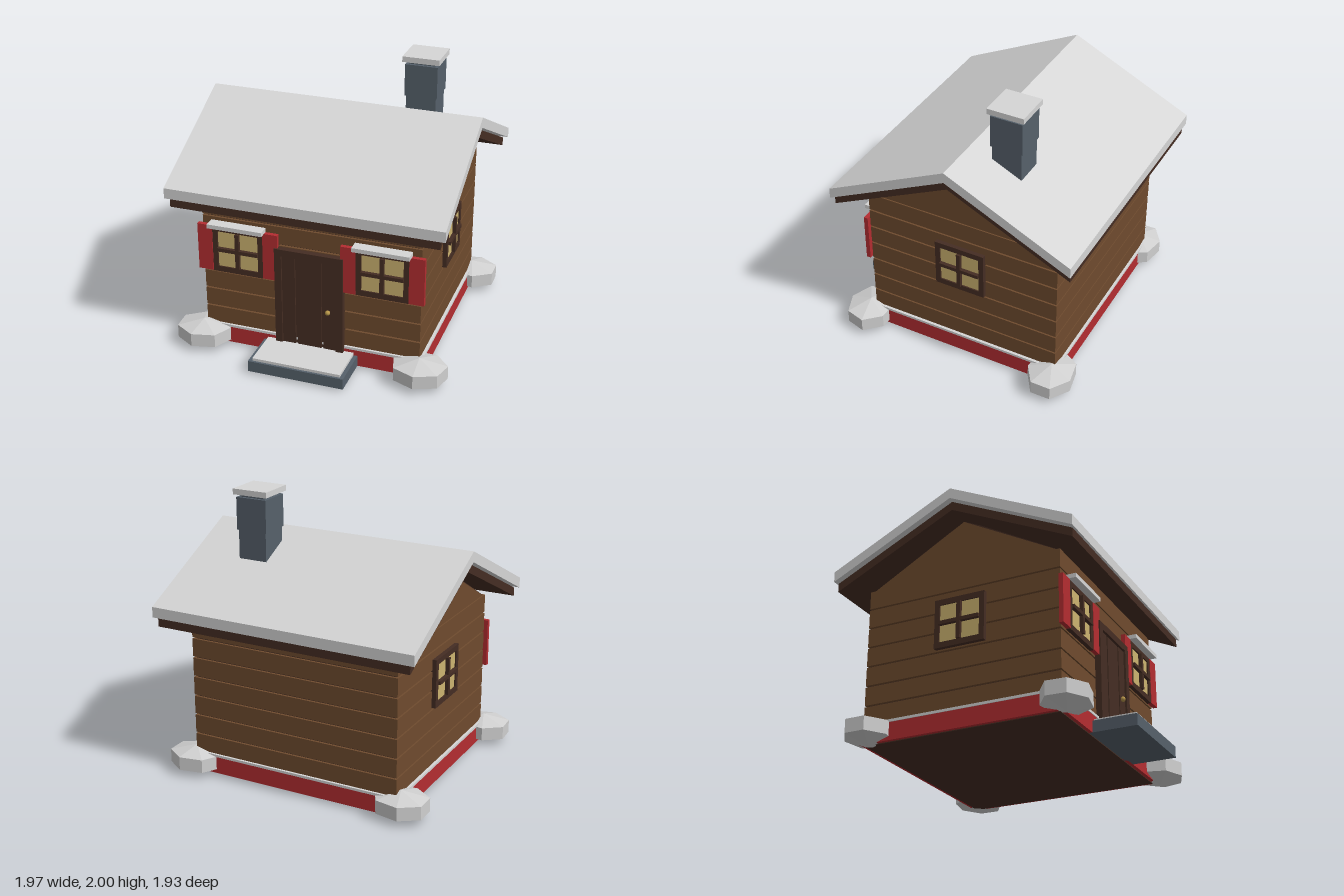
import * as THREE from 'three';

const mat = (name, color) => {
  const m = new THREE.MeshStandardMaterial({ color });
  m.name = name;
  return m;
};

export function createModel() {
  const wood = mat('wood', 0x6f4b2e);
  const dark = mat('dark wood', 0x452d23);
  const red = mat('red paint', 0xb42d31);
  const slate = mat('slate', 0x56616b);
  const snow = mat('snow', 0xd6d6d6);
  const glow = mat('lit glass', 0xcdb470);
  const brass = mat('brass', 0xb8974a);
  const rock = mat('snowy stone', 0xd0d0d0);
  rock.flatShading = true;

  const model = new THREE.Group();
  model.name = 'cabin';
  const MID = -0.07; // z of the ridge and the middle of the house

  // Box given by its limits on each axis
  function box(name, material, x0, x1, y0, y1, z0, z1, parent = model) {
    const mesh = new THREE.Mesh(new THREE.BoxGeometry(x1 - x0, y1 - y0, z1 - z0), material);
    mesh.position.set((x0 + x1) / 2, (y0 + y1) / 2, (z0 + z1) / 2);
    mesh.name = name;
    parent.add(mesh);
    return mesh;
  }

  // Profile of [z offset from ridge, y] points, run along x and centred
  function prism(name, material, points, halfLength) {
    const shape = new THREE.Shape(points.map(([a, b]) => new THREE.Vector2(a, b)));
    const geo = new THREE.ExtrudeGeometry(shape, { depth: halfLength * 2, bevelEnabled: false });
    geo.translate(0, 0, -halfLength).rotateY(Math.PI / 2);
    const mesh = new THREE.Mesh(geo, material);
    mesh.position.z = MID;
    mesh.name = name;
    model.add(mesh);
  }

  // Foundation with a snow line on top
  box('foundation', red, -0.8, 0.8, 0.02, 0.145, -0.8, 0.66);
  box('floor', dark, -0.775, 0.775, 0.014, 0.02, -0.775, 0.635);
  box('foundationSnow', snow, -0.805, 0.805, 0.145, 0.163, -0.805, 0.665);

  // Plank walls around a dark core that shows in the grooves
  box('wallCore', dark, -0.765, 0.765, 0.15, 1.145, -0.77, 0.63);
  const pitch = 0.1425;
  for (let i = 0; i < 7; i++) {
    const y = 0.15 + i * pitch;
    box('wallPlank', wood, -0.785, 0.785, y + 0.006, y + pitch - 0.006, -0.788, 0.648);
  }

  // Gables
  prism('gable', wood, [[-0.7, 1.14], [0.7, 1.14], [0, 1.525]], 0.775);
  prism('gableTrim', dark, [[-0.712, 1.14], [0.712, 1.14], [0, 1.54]], 0.765);

  // Roof boards and snow blanket
  const chevron = (half, eave, ridge, thick) => [
    [-half, eave], [0, ridge], [half, eave], [half, eave + thick], [0, ridge + thick], [-half, eave + thick],
  ];
  prism('roofBoards', dark, chevron(0.88, 1.11, 1.53, 0.062), 0.945);
  prism('roofSnow', snow, chevron(0.895, 1.174, 1.604, 0.075), 0.98);

  // Chimney
  const cx = 0.503, cz = -0.325;
  const block = (name, m, half, y0, y1) => box(name, m, cx - half, cx + half, y0, y1, cz - half, cz + half);
  block('chimneyBase', slate, 0.107, 1.4, 1.71);
  block('chimneyTop', slate, 0.116, 1.71, 1.94);
  block('chimneyNeck', slate, 0.095, 1.94, 1.96);
  block('chimneySnow', snow, 0.132, 1.96, 2.0);

  // Window built facing +z with its back on z = 0
  function windowUnit() {
    const g = new THREE.Group();
    g.name = 'window';
    for (const s of [-1, 1]) {
      box('frameSide', dark, s * 0.1665 - 0.0185, s * 0.1665 + 0.0185, -0.175, 0.175, -0.01, 0.03, g);
      box('frameRail', dark, -0.148, 0.148, s * 0.155 - 0.02, s * 0.155 + 0.02, -0.01, 0.03, g);
    }
    box('glass', glow, -0.15, 0.15, -0.137, 0.137, 0.012, 0.02, g);
    box('mullion', dark, -0.014, 0.014, -0.135, 0.135, 0.02, 0.046, g);
    box('crossbar', dark, -0.15, 0.15, -0.013, 0.013, 0.02, 0.046, g);
    model.add(g);
    return g;
  }

  for (const s of [-1, 1]) {
    // Front windows with shutters and snow on the lintel
    const front = windowUnit();
    front.position.set(s * 0.52, 0.77, 0.648);
    for (const t of [-1, 1]) {
      box('shutter', red, t * 0.24 - 0.054, t * 0.24 + 0.054, -0.172, 0.175, 0.002, 0.033, front);
    }
    box('lintelSnow', snow, -0.2, 0.2, 0.175, 0.205, 0.0, 0.082, front);

    // Side windows
    const side = windowUnit();
    side.position.set(s * 0.785, 0.77, MID);
    side.rotation.y = s * Math.PI / 2;
  }

  // Door: frame, three boards with grooves, knob
  for (const s of [-1, 1]) {
    box('doorPost', dark, s * 0.222 - 0.025, s * 0.222 + 0.025, 0.1, 0.85, 0.63, 0.69);
  }
  box('doorLintel', dark, -0.197, 0.197, 0.8, 0.85, 0.63, 0.69);
  box('doorBack', dark, -0.2, 0.2, 0.1, 0.8, 0.63, 0.664);
  for (const x of [-0.15, 0, 0.15]) {
    const half = x === 0 ? 0.087 : 0.047;
    box('doorBoard', dark, x - half, x + half, 0.1, 0.795, 0.65, 0.676);
  }
  const knob = new THREE.Mesh(new THREE.SphereGeometry(0.018, 10, 8), brass);
  knob.position.set(0.137, 0.418, 0.686);
  knob.name = 'doorKnob';
  model.add(knob);

  // Front step
  box('step', slate, -0.345, 0.345, 0.02, 0.1, 0.62, 0.968);
  box('stepSnow', snow, -0.317, 0.317, 0.1, 0.12, 0.64, 0.952);

  // Corner stones: [x, z, turn]
  const stoneGeo = new THREE.SphereGeometry(1, 7, 3);
  for (const [x, z, turn] of [
    [-0.795, 0.685, 0.5], [0.795, 0.685, Math.PI / 2], [-0.795, -0.735, Math.PI], [0.795, -0.77, 0],
  ]) {
    const stone = new THREE.Mesh(stoneGeo.clone().rotateY(turn).scale(0.228, 0.097, 0.19), rock);
    stone.position.set(x, 0.097, z);
    stone.name = 'cornerStone';
    model.add(stone);
  }

  return model;
}
